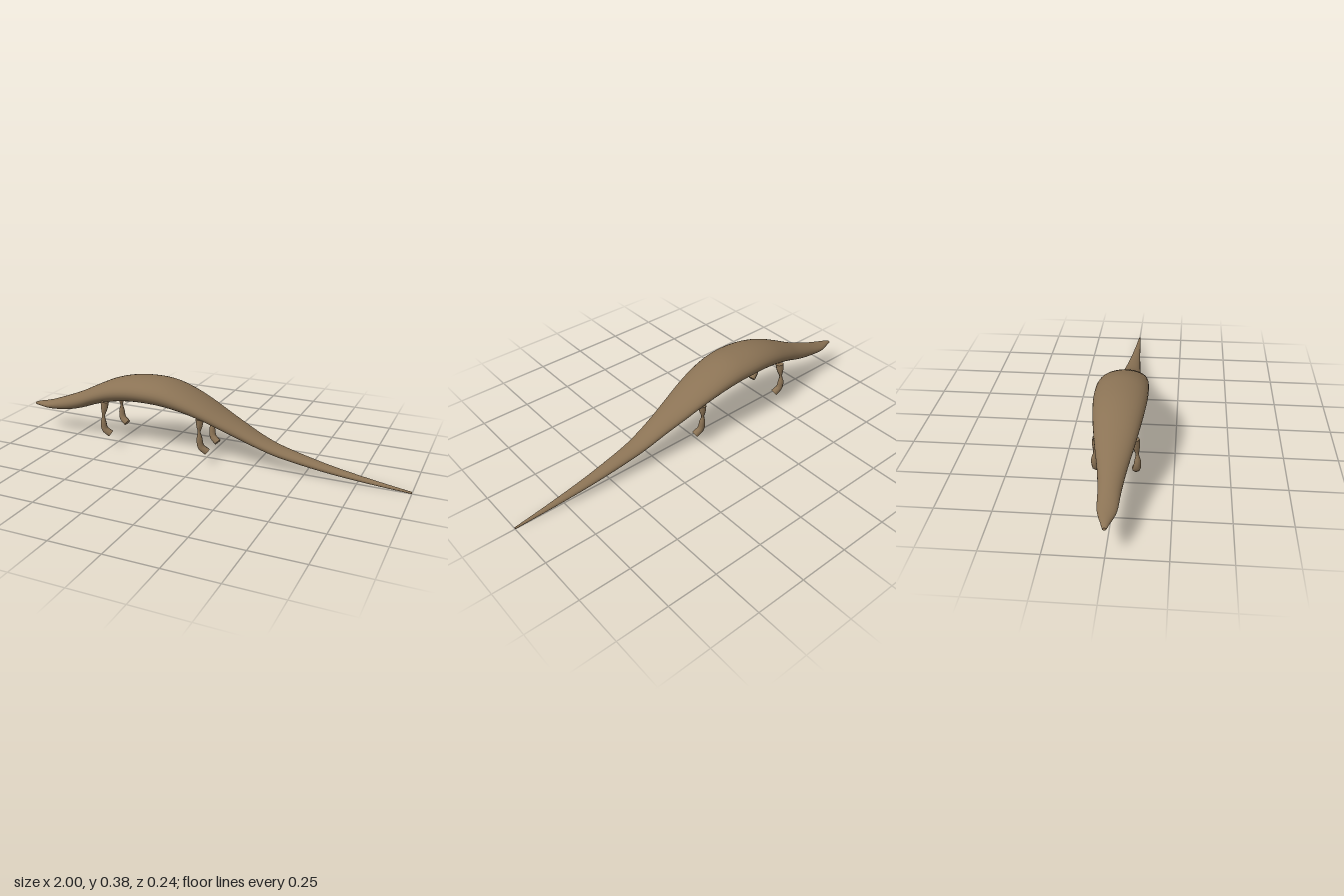
import * as THREE from 'three';

// Skin a list of elliptical rings {c, u, v}; u x v points along the run
function loft(rings, sides) {
  const pos = [], idx = [];
  const at = (r, k) => {
    const a = (k / sides) * Math.PI * 2;
    return r.c.clone().addScaledVector(r.u, Math.cos(a)).addScaledVector(r.v, Math.sin(a));
  };
  for (const r of rings) for (let k = 0; k < sides; k++) pos.push(...at(r, k).toArray());
  for (let i = 0; i < rings.length - 1; i++) {
    for (let k = 0; k < sides; k++) {
      const a = i * sides + k, b = i * sides + (k + 1) % sides;
      idx.push(a, b, a + sides, b, b + sides, a + sides);
    }
  }
  // flat end caps with their own vertices
  [[rings[0], true], [rings[rings.length - 1], false]].forEach(([r, start]) => {
    const o = pos.length / 3;
    pos.push(...r.c.toArray());
    for (let k = 0; k < sides; k++) pos.push(...at(r, k).toArray());
    for (let k = 0; k < sides; k++) {
      const a = o + 1 + k, b = o + 1 + (k + 1) % sides;
      if (start) idx.push(o, b, a); else idx.push(o, a, b);
    }
  });
  const g = new THREE.BufferGeometry();
  g.setAttribute('position', new THREE.Float32BufferAttribute(pos, 3));
  g.setIndex(idx);
  g.computeVertexNormals();
  return g;
}

// Body stations from snout to tail tip: x, underside, back, half width
const STATIONS = [
  [-1, 0.134, 0.146, 0.008], [-0.97, 0.131, 0.156, 0.018], [-0.9, 0.128, 0.172, 0.04],
  [-0.8, 0.136, 0.209, 0.048], [-0.7, 0.162, 0.25, 0.062], [-0.6, 0.2, 0.3, 0.083],
  [-0.5, 0.228, 0.345, 0.101], [-0.4, 0.245, 0.371, 0.114], [-0.3, 0.25, 0.38, 0.121],
  [-0.2, 0.245, 0.375, 0.12], [-0.1, 0.23, 0.346, 0.113], [0, 0.203, 0.302, 0.1],
  [0.1, 0.166, 0.25, 0.083], [0.2, 0.128, 0.2, 0.065], [0.3, 0.093, 0.152, 0.053],
  [0.4, 0.066, 0.118, 0.043], [0.6, 0.034, 0.071, 0.029], [0.8, 0.014, 0.037, 0.016],
  [1, 0, 0.01, 0.004],
];

function bodyGeometry() {
  const edge = new THREE.CatmullRomCurve3(STATIONS.map(s => new THREE.Vector3(s[0], s[1], s[2])), false, 'catmullrom');
  const width = new THREE.CatmullRomCurve3(STATIONS.map(s => new THREE.Vector3(s[0], s[3], 0)), false, 'catmullrom');
  const rings = [];
  for (let i = 0; i <= 90; i++) {
    const e = edge.getPoint(i / 90), w = width.getPoint(i / 90).y;
    rings.push({
      c: new THREE.Vector3(e.x, (e.y + e.z) / 2, 0),
      u: new THREE.Vector3(0, (e.z - e.y) / 2, 0),
      v: new THREE.Vector3(0, 0, w),
    });
  }
  return loft(rings, 32);
}

// Leg: thin tube pinched at the knee, curling to a blunt foot; points are x, y, z, radius
function legGeometry(points, side) {
  const path = new THREE.CatmullRomCurve3(points.map(p => new THREE.Vector3(p[0], p[1], p[2] * side)));
  const rings = [], n = 16, last = points.length - 1;
  for (let i = 0; i <= n; i++) {
    const t = i / n, f = t * last, k = Math.min(Math.floor(f), last - 1);
    const radius = THREE.MathUtils.lerp(points[k][3], points[k + 1][3], f - k);
    const dir = path.getTangent(t);
    const u = new THREE.Vector3(0, 0, 1).cross(dir).normalize();
    const v = dir.clone().cross(u).normalize();
    rings.push({ c: path.getPoint(t), u: u.multiplyScalar(radius), v: v.multiplyScalar(radius) });
  }
  return loft(rings, 8);
}

const FRONT_LEG = [
  [-0.523, 0.24, 0.08, 0.021], [-0.524, 0.205, 0.086, 0.017], [-0.527, 0.17, 0.091, 0.006],
  [-0.528, 0.135, 0.093, 0.015], [-0.522, 0.098, 0.09, 0.017], [-0.493, 0.075, 0.083, 0.018],
];
const REAR_LEG = [
  [-0.003, 0.225, 0.076, 0.021], [-0.003, 0.195, 0.08, 0.016], [-0.004, 0.163, 0.081, 0.006],
  [-0.004, 0.13, 0.078, 0.015], [0.002, 0.085, 0.073, 0.017], [0.031, 0.06, 0.065, 0.018],
];

export function createModel() {
  const model = new THREE.Group();
  const brownSkin = new THREE.MeshStandardMaterial({ color: 0x8b7355 });
  brownSkin.name = 'brownSkin';
  const add = (name, geometry) => {
    const mesh = new THREE.Mesh(geometry, brownSkin);
    mesh.name = name;
    model.add(mesh);
  };

  add('body', bodyGeometry());
  // the head points to -x, so +z is the animal's left flank
  for (const side of [1, -1]) {
    const flank = side > 0 ? 'Near' : 'Far';
    add('foreLeg' + flank, legGeometry(FRONT_LEG, side));
    add('hindLeg' + flank, legGeometry(REAR_LEG, side));
  }
  return model;
}
